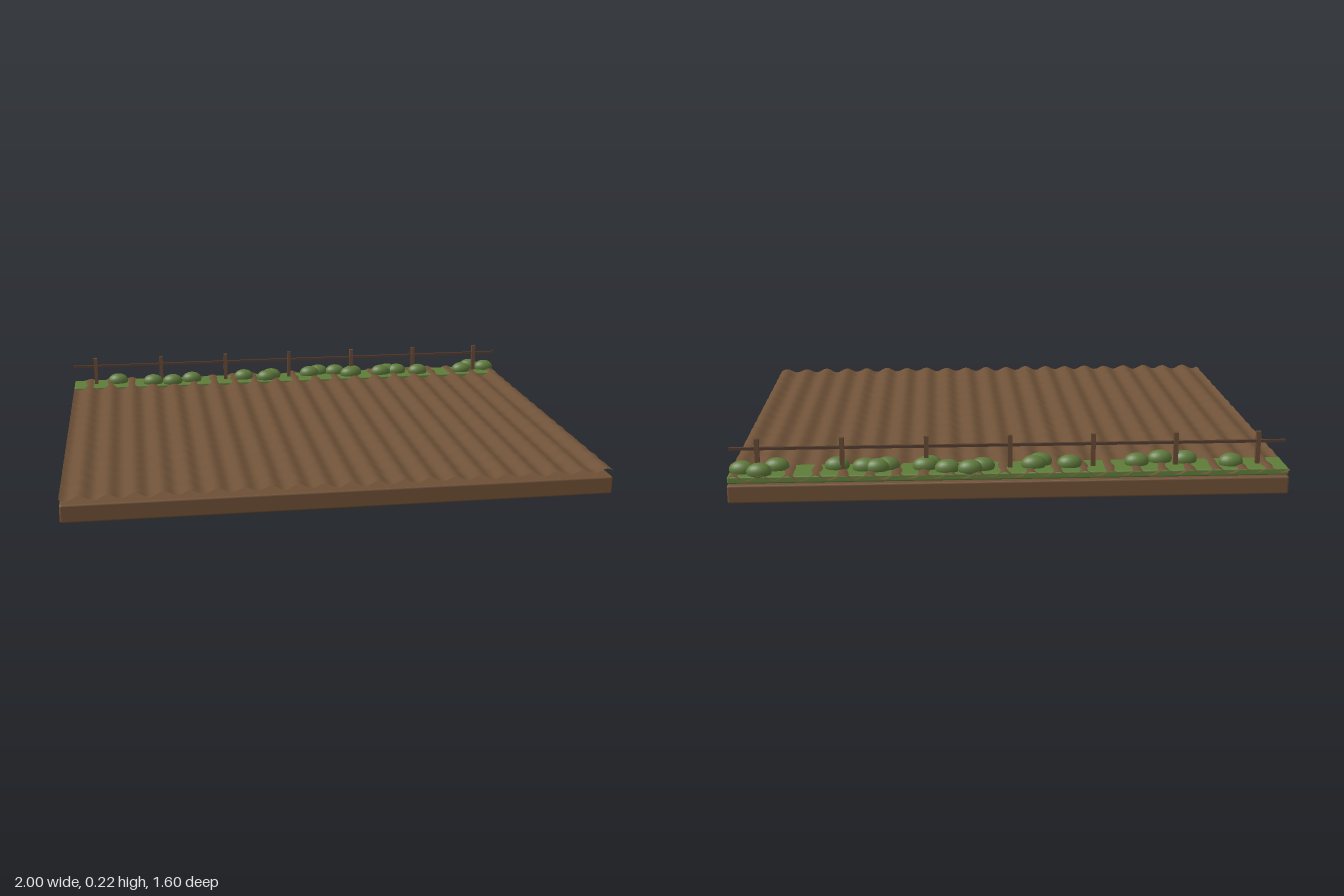
import * as THREE from 'three';
import { RoundedBoxGeometry } from 'three/addons/geometries/RoundedBoxGeometry.js';

function material(name, color, side = THREE.FrontSide) {
  const m = new THREE.MeshStandardMaterial({ color, side });
  m.name = name;
  return m;
}

function addMesh(parent, name, geometry, mat, x = 0, y = 0, z = 0) {
  const mesh = new THREE.Mesh(geometry, mat);
  mesh.name = name;
  mesh.position.set(x, y, z);
  parent.add(mesh);
  return mesh;
}

// Ploughed sheet: ridges run along z, with a little lumpiness
function furrowGeometry() {
  const ridges = 21;
  const geo = new THREE.PlaneGeometry(2, 1.6, ridges * 8, 80);
  geo.rotateX(-Math.PI / 2);
  const p = geo.attributes.position;
  for (let i = 0; i < p.count; i++) {
    const x = p.getX(i), z = p.getZ(i);
    const ridge = 0.0085 * Math.sin(x * Math.PI * ridges);
    const lumps = 0.0025 * Math.sin(z * 62 + Math.sin(x * 17) * 2) * Math.cos(x * 23 + z * 9);
    p.setY(i, 0.091 + ridge + lumps);
  }
  geo.computeVertexNormals();
  return geo;
}

export function createModel() {
  const model = new THREE.Group();
  model.name = 'ploughedField';

  const earth = material('earth', 0x6e4f35);
  const soil = material('ploughedSoil', 0x6f5238, THREE.DoubleSide);
  const grass = material('grass', 0x5f7d3a);
  const leaf = material('bushLeaf', 0x5f7a3c);
  const postWood = material('postWood', 0x664a35);
  const railWood = material('railWood', 0x543c30);

  // Ground slab and ploughed surface
  addMesh(model, 'groundSlab', new RoundedBoxGeometry(2, 0.068, 1.6, 2, 0.008), earth, 0, 0.034, 0);
  addMesh(model, 'furrows', furrowGeometry(), soil);

  // Grass verge along the back edge
  addMesh(model, 'grassVerge', new RoundedBoxGeometry(2, 0.026, 0.134, 2, 0.006), grass, 0, 0.082, -0.72);

  // Flattened bushes scattered along the verge: [x, z]
  const bushes = new THREE.Group();
  bushes.name = 'bushes';
  model.add(bushes);
  const bushGeo = new THREE.SphereGeometry(1, 20, 14).scale(0.045, 0.031, 0.031);
  [
    [-0.8, -0.73], [-0.64, -0.69], [-0.55, -0.68], [-0.46, -0.71], [-0.215, -0.72],
    [-0.11, -0.69], [-0.085, -0.72], [0.1, -0.735], [0.145, -0.76], [0.225, -0.75],
    [0.29, -0.7], [0.305, -0.72], [0.44, -0.71], [0.475, -0.73], [0.52, -0.72],
    [0.62, -0.7], [0.835, -0.7], [0.89, -0.76], [0.955, -0.73],
  ].forEach(([x, z]) => addMesh(bushes, 'bush', bushGeo, leaf, x, 0.106, z));

  // Fence: evenly spaced posts and one thin rail
  const fence = new THREE.Group();
  fence.name = 'fence';
  model.add(fence);
  const postGeo = new THREE.BoxGeometry(0.016, 0.14, 0.016);
  for (let i = -3; i <= 3; i++) addMesh(fence, 'fencePost', postGeo, postWood, i * 0.3, 0.145, -0.72);
  addMesh(fence, 'fenceRail', new THREE.BoxGeometry(2, 0.01, 0.01), railWood, 0, 0.178, -0.72);

  return model;
}
